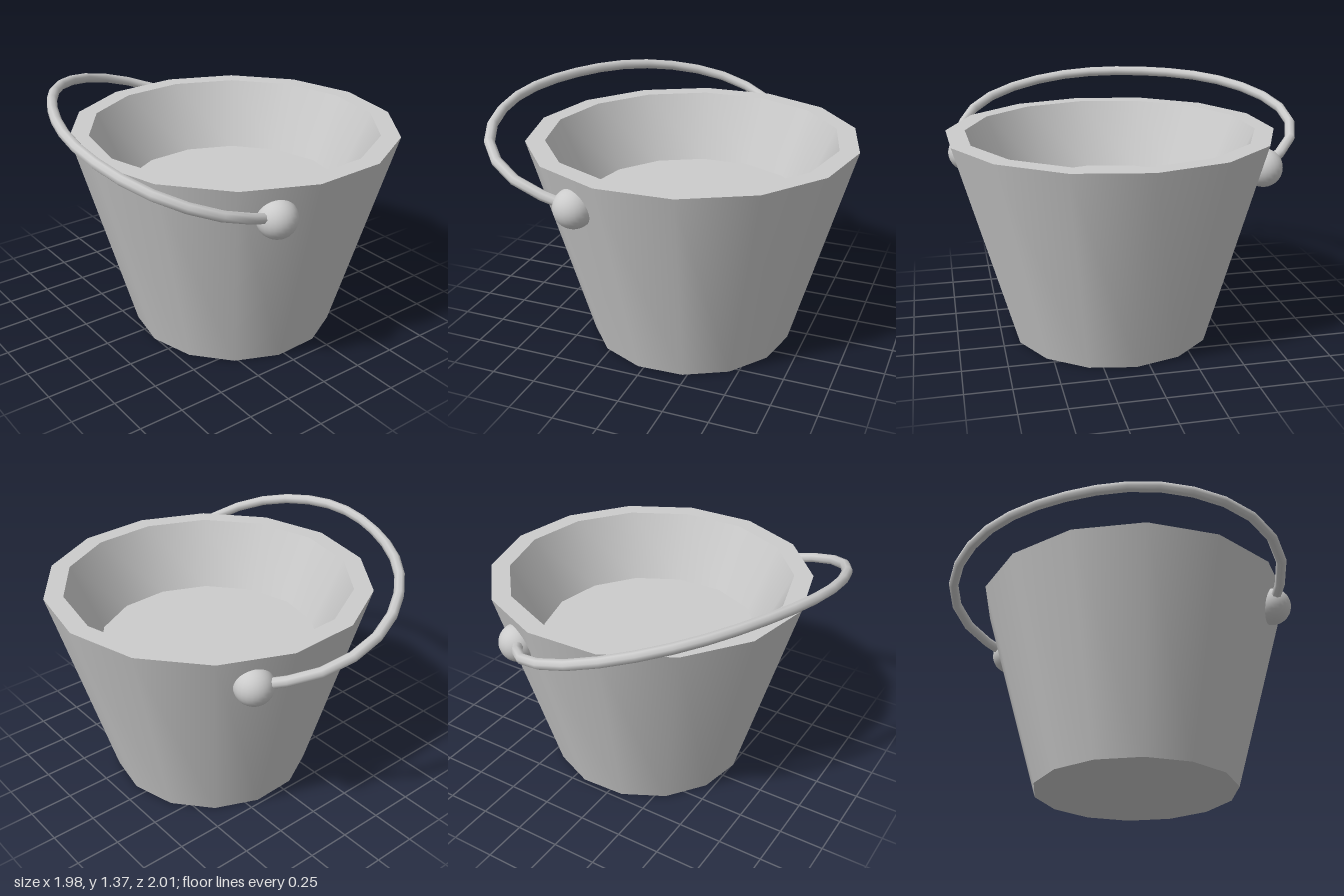
import * as THREE from 'three';

export function createModel() {
  const model = new THREE.Group();
  const mat = new THREE.MeshStandardMaterial({ color: 0xcccccc });
  const bucket = new THREE.Group();
  bucket.name = 'bucket';
  bucket.position.set(0.0725, 0, 0.097);
  model.add(bucket);

  const add = (name, geometry, parent = bucket) => {
    const mesh = new THREE.Mesh(geometry, mat);
    mesh.name = name;
    parent.add(mesh);
    return mesh;
  };

  // Fourteen-sided body, one band per profile edge so the rims stay sharp
  const profile = [
    ['base', 0, 0],
    ['outerWall', 0.58, 0],
    ['rim', 0.915, 1.18],
    ['innerWall', 0.808, 1.18],
    ['innerFloor', 0.633, 0.8],
    ['', 0, 0.8],
  ];
  for (let i = 0; i < profile.length - 1; i++) {
    const band = [profile[i], profile[i + 1]].map(([, r, y]) => new THREE.Vector2(r, y));
    add(profile[i][0], new THREE.LatheGeometry(band, 14, 1.611));
  }

  // Handle frame: local x runs between the pivots, local y leans out and up
  const along = new THREE.Vector3(-0.396, 0, 0.918);
  const lean = new THREE.Vector3(-0.918, 0.34, -0.396);
  const place = (a, b) => new THREE.Vector3(0, 1.005, 0)
    .addScaledVector(along, a).addScaledVector(lean, b);

  // Ball pivots on both sides
  for (const side of [1, -1]) {
    add(side > 0 ? 'frontPivot' : 'backPivot', new THREE.SphereGeometry(0.106, 24, 16))
      .position.copy(place(side * 0.853, 0));
  }

  // Tilted bail handle, mirrored from one half
  const half = [[0.853, 0], [0.885, 0.06], [0.965, 0.215], [0.985, 0.385],
    [0.945, 0.55], [0.85, 0.69], [0.72, 0.8], [0.57, 0.885], [0.4, 0.945], [0.2, 0.98]];
  const path = [...half, [0, 0.99], ...half.map(([a, b]) => [-a, b]).reverse()];
  const curve = new THREE.CatmullRomCurve3(path.map(([a, b]) => place(a, b)));
  add('handle', new THREE.TubeGeometry(curve, 20, 0.029, 8));

  return model;
}
